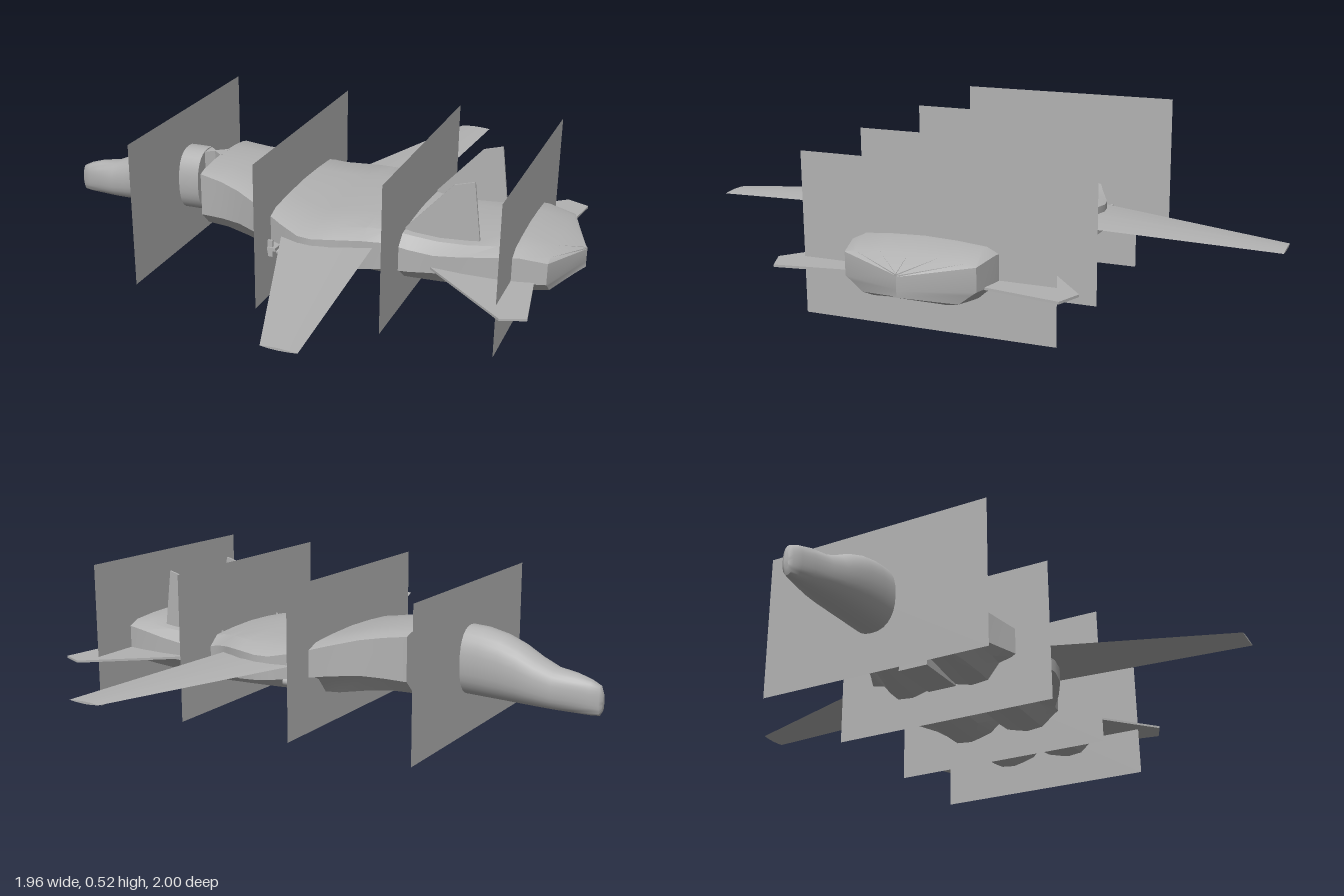
import * as THREE from 'three';
import { toCreasedNormals } from 'three/addons/utils/BufferGeometryUtils.js';

// Skin a list of closed rings of [x, y, z] points, with optional end caps
function loft(rings, capStart, capEnd, crease = 0.5) {
  const n = rings[0].length, pos = rings.flat(2), idx = [];
  for (let i = 0; i < rings.length - 1; i++) {
    for (let j = 0; j < n; j++) {
      const k = (j + 1) % n, a = i * n, b = a + n;
      idx.push(a + j, b + j, b + k, a + j, b + k, a + k);
    }
  }
  const cap = (i, flip) => {
    const c = pos.length / 3;
    for (let d = 0; d < 3; d++) pos.push(rings[i].reduce((s, p) => s + p[d], 0) / n);
    for (let j = 0; j < n; j++) {
      const p = i * n + j, q = i * n + (j + 1) % n;
      idx.push(c, flip ? q : p, flip ? p : q);
    }
  };
  if (capStart) cap(0, false);
  if (capEnd) cap(rings.length - 1, true);
  const g = new THREE.BufferGeometry();
  g.setAttribute('position', new THREE.Float32BufferAttribute(pos, 3));
  g.setIndex(idx);
  return toCreasedNormals(g, crease);
}

// Thin flat plate from a 2D outline
function plate(points, thickness) {
  const shape = new THREE.Shape(points.map(p => new THREE.Vector2(...p)));
  const g = new THREE.ExtrudeGeometry(shape, { depth: thickness, bevelEnabled: false });
  return g.translate(0, 0, -thickness / 2);
}

export function createModel() {
  const group = new THREE.Group();
  const grey = new THREE.MeshStandardMaterial({ color: 0xb2b2b2 });
  grey.name = 'grey';
  const greySheet = grey.clone();
  greySheet.name = 'grey sheet';
  greySheet.side = THREE.DoubleSide;
  const add = (name, geometry, x = 0, y = 0, z = 0, material = grey) => {
    const m = new THREE.Mesh(geometry, material);
    m.name = name;
    m.position.set(x, y, z);
    group.add(m);
    return m;
  };

  // Nose shell, open at the rear: x, half width, bottom, top
  const nose = [
    [-0.98, 0.008, 0.15, 0.205], [-0.97, 0.02, 0.132, 0.232], [-0.94, 0.03, 0.13, 0.247],
    [-0.89, 0.045, 0.131, 0.262], [-0.82, 0.061, 0.132, 0.273], [-0.76, 0.071, 0.134, 0.3],
    [-0.7, 0.078, 0.136, 0.335], [-0.64, 0.083, 0.138, 0.36], [-0.57, 0.086, 0.14, 0.376],
    [-0.5, 0.087, 0.142, 0.38], [-0.43, 0.09, 0.144, 0.38],
  ];
  const soft = v => Math.sign(v) * Math.abs(v) ** 0.85;
  add('nose', loft(nose.map(([x, w, lo, hi]) => Array.from({ length: 28 }, (_, j) => {
    const a = j / 28 * Math.PI * 2;
    return [x, (lo + hi) / 2 + soft(Math.sin(a)) * (hi - lo) / 2, soft(Math.cos(a)) * w];
  })), true, false, 0.8));

  // Fuselage with twin lower nacelles: x, half width, top, shoulder, chine, bottom
  const stations = [
    [-0.365, 0.185, 0.376, 0.355, 0.2, 0.145], [-0.28, 0.195, 0.367, 0.343, 0.203, 0.143],
    [-0.2, 0.22, 0.355, 0.33, 0.207, 0.135], [-0.1, 0.262, 0.332, 0.305, 0.2, 0.118],
    [0, 0.31, 0.31, 0.278, 0.19, 0.11], [0.08, 0.35, 0.302, 0.265, 0.182, 0.106],
    [0.13, 0.358, 0.303, 0.266, 0.178, 0.103], [0.2, 0.345, 0.308, 0.27, 0.17, 0.1],
    [0.29, 0.298, 0.304, 0.262, 0.16, 0.097], [0.36, 0.252, 0.292, 0.247, 0.152, 0.095],
    [0.43, 0.243, 0.28, 0.232, 0.152, 0.096], [0.52, 0.245, 0.275, 0.228, 0.165, 0.1],
    [0.62, 0.25, 0.282, 0.243, 0.173, 0.106], [0.72, 0.247, 0.295, 0.26, 0.176, 0.113],
    [0.8, 0.236, 0.298, 0.268, 0.178, 0.12], [0.89, 0.214, 0.275, 0.255, 0.18, 0.13],
  ];
  const rings = stations.map(([x, w, top, shoulder, chine, low]) => {
    const lobe = Math.min(0.92 * w, 0.225);
    const half = [
      [chine - 0.005, 0], [low + 0.022, 0.035], [low + 0.008, 0.085], [low, 0.12],
      [low + 0.006, lobe * 0.8], [low + (chine - low) * 0.75, lobe], [chine, w],
      [shoulder, w], [top - 0.012, 0.84 * w], [top - 0.004, 0.45 * w], [top, 0],
    ];
    const mirrored = half.slice(1, -1).reverse().map(([y, z]) => [y, -z]);
    return [...half, ...mirrored].map(([y, z]) => [x, y, z]);
  });
  // Tail closes to a vertical edge
  rings.push(rings.at(-1).map(([, y]) => [0.975, 0.2 + (y - 0.2) * 0.5, 0]));
  add('fuselage', loft(rings, true, false));

  // Pinched web between nose and fuselage
  const web = [[-0.43, 0.028], [-0.4, 0.004], [-0.36, 0.035]];
  add('frontWeb', loft(web.map(([x, w]) =>
    [[x, 0.15, w], [x, 0.375, w], [x, 0.375, -w], [x, 0.15, -w]]), true, true));

  // Belly box between the nacelles
  add('bellyBox', new THREE.BoxGeometry(0.24, 0.06, 0.11), -0.13, 0.153, 0);

  for (const s of [1, -1]) {
    const side = s > 0 ? 'left' : 'right';

    // Lens-section wing: z, leading edge, trailing edge, half thickness
    const wing = [[0.2, -0.036, 0.314, 0.011], [1, 0.25, 0.367, 0.004]].map(([z, a, b, t]) => {
      const at = (f, h) => [a + (b - a) * f, 0.234 + h * t, z * s];
      const ring = [at(0, 0), at(0.25, 0.8), at(0.5, 1), at(0.8, 0.6),
        at(1, 0), at(0.8, -0.6), at(0.5, -1), at(0.25, -0.8)];
      return s > 0 ? ring : ring.reverse();
    });
    add(side + 'Wing', loft(wing, true, true));

    // Tailplane, laid flat
    const tail = plate([[0.46, 0.2], [0.5, 0.235], [0.81, 0.498], [0.89, 0.465],
      [0.855, 0.24], [0.845, 0.17]].map(([x, z]) => [x, -z * s]), 0.008);
    add(side + 'Tailplane', tail.rotateX(-Math.PI / 2), 0, 0.181, 0);

    // Upright fin
    add(side + 'Fin', plate([[0.38, 0.26], [0.56, 0.46], [0.63, 0.48], [0.658, 0.26]], 0.008),
      0, 0, 0.175 * s);

    // Small fittings under the wing root
    add(side + 'Bracket', new THREE.BoxGeometry(0.03, 0.012, 0.07), -0.018, 0.195, 0.31 * s);
    add(side + 'BracketPost', new THREE.BoxGeometry(0.018, 0.06, 0.008), -0.025, 0.195, 0.335 * s);
    add(side + 'Pod', new THREE.CylinderGeometry(0.014, 0.014, 0.06, 12).rotateZ(Math.PI / 2),
      0.015, 0.172, 0.3 * s);
  }

  // Upright cross-section sheets
  for (const x of [-0.51, -0.045, 0.4, 0.78]) {
    add('sectionSheet', new THREE.PlaneGeometry(0.84, 0.525).rotateY(Math.PI / 2),
      x, 0.2625, 0, greySheet);
  }
  return group;
}
